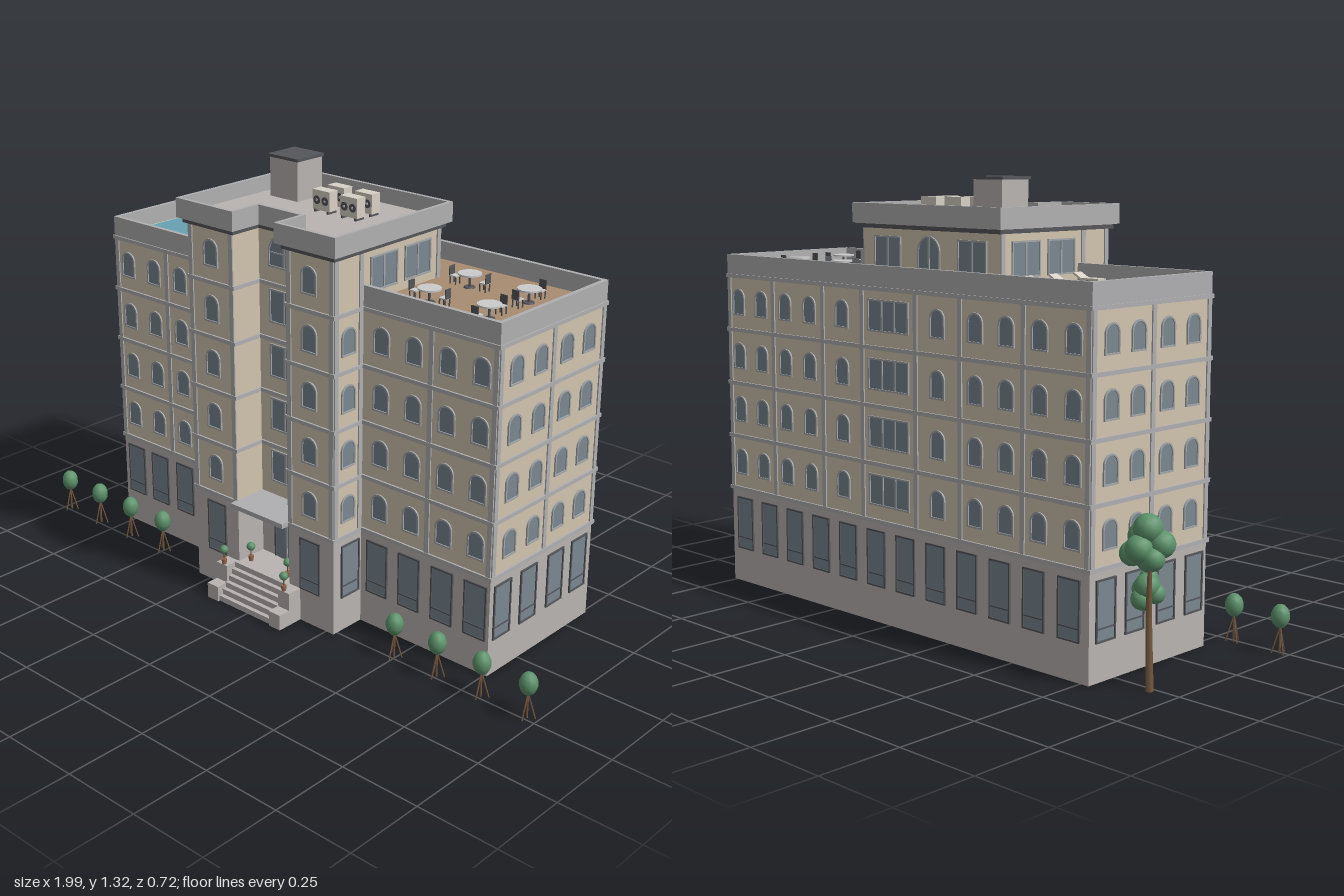
import * as THREE from 'three';

const COL = { wall: 0xd2c5af, base: 0xb9b4b2, trim: 0xb0b0b2, glass: 0x7a8790, frame: 0xa3a6a8, dark: 0x55565a,
  deck: 0xa98c72, water: 0x69a2b4, cream: 0xd8d2c6, leaf: 0x5d936b, wood: 0x75593f, pot: 0x9a6a50, grey: 0xcccccc };
const mats = {};
const mat = (c) => (mats[c] ??= new THREE.MeshStandardMaterial({ color: COL[c] }));

function add(parent, name, geo, c, x = 0, y = 0, z = 0) {
  const m = new THREE.Mesh(geo, mat(c));
  m.name = name;
  m.position.set(x, y, z);
  parent.add(m);
  return m;
}
// Box given by its extents
function box(parent, name, c, x0, x1, y0, y1, z0, z1) {
  return add(parent, name, new THREE.BoxGeometry(x1 - x0, y1 - y0, z1 - z0), c, (x0 + x1) / 2, (y0 + y1) / 2, (z0 + z1) / 2);
}
function group(parent, name, x = 0, y = 0, z = 0, ry = 0) {
  const g = new THREE.Group();
  g.name = name;
  g.position.set(x, y, z);
  g.rotation.y = ry;
  parent.add(g);
  return g;
}
// Round bar between two points
function bar(parent, name, c, a, b, r0, r1 = r0) {
  const p = new THREE.Vector3(...a), q = new THREE.Vector3(...b), d = q.clone().sub(p);
  const m = add(parent, name, new THREE.CylinderGeometry(r1, r0, d.length(), 7), c);
  m.position.copy(p).add(q).multiplyScalar(0.5);
  m.quaternion.setFromUnitVectors(new THREE.Vector3(0, 1, 0), d.normalize());
}

// Footprints, grown outwards by o, as [x, z] corners
const mainPlan = (o) => [[-0.78 - o, 0.145 + o], [0.76 + o, 0.145 + o], [0.76 + o, -0.355 - o], [-0.78 - o, -0.355 - o]];
const towerPlan = (o) => [[-0.3 - o, 0.267 + o], [-0.115 + o, 0.267 + o], [-0.115 + o, 0.16 + o], [0.1 - o, 0.16 + o],
  [0.1 - o, 0.267 + o], [0.28 + o, 0.267 + o], [0.28 + o, -0.196 - o], [-0.3 - o, -0.196 - o]];
function storey(parent, name, c, plan, y0, y1, hole) {
  const pts = (p) => p.map(([x, z]) => new THREE.Vector2(x, -z));
  const s = new THREE.Shape(pts(plan));
  if (hole) s.holes.push(new THREE.Path(pts(hole)));
  const geo = new THREE.ExtrudeGeometry(s, { depth: y1 - y0, bevelEnabled: false });
  return add(parent, name, geo.rotateX(-Math.PI / 2), c, 0, y0, 0);
}

// Window outline, with an arched head of the given rise
function outline(w, h, rise, o) {
  const s = new THREE.Shape().moveTo(-w / 2 - o, -o).lineTo(w / 2 + o, -o).lineTo(w / 2 + o, h - rise + (rise ? 0 : o));
  if (rise) s.absellipse(0, h - rise, w / 2 + o, rise + o, 0, Math.PI, false);
  else s.lineTo(-w / 2 - o, h + o);
  return s;
}
const winGeo = {};
function win(parent, kind, x, y, z, ry = 0) {
  const [w, h, rise, bars, transom] = {
    arched: [0.05, 0.075, 0.024, 0, 0], shop: [0.07, 0.162, 0, 0, 0.033], pair: [0.108, 0.095, 0, 1, 0],
    triple: [0.165, 0.085, 0, 2, 0], fan: [0.112, 0.095, 0.055, 1, 0.04], door: [0.09, 0.17, 0, 1, 0.125],
    terraceDoor: [0.085, 0.13, 0.04, 1, 0] }[kind];
  const geo = (winGeo[kind] ??= (() => {
    const ring = outline(w, h, rise, 0.005);
    ring.holes.push(outline(w, h, rise, 0));
    return [new THREE.ShapeGeometry(outline(w, h, rise, 0), 8),
      new THREE.ExtrudeGeometry(ring, { depth: 0.005, bevelEnabled: false, curveSegments: 8 })];
  })());
  const g = group(parent, kind + 'Window', x, y, z, ry);
  add(g, 'glass', geo[0], 'glass', 0, 0, 0.0015);
  add(g, 'frame', geo[1], kind === 'shop' || kind === 'door' ? 'dark' : 'frame');
  for (let i = 1; i <= bars; i++) {
    const bx = -w / 2 + (w * i) / (bars + 1);
    box(g, 'mullion', 'frame', bx - 0.003, bx + 0.003, 0, h, 0, 0.004);
  }
  if (transom) box(g, 'transom', kind === 'fan' ? 'frame' : 'dark', -w / 2, w / 2, transom - 0.002, transom + 0.002, 0, 0.004);
}

const FLOORS = [0.31, 0.4825, 0.655, 0.8275];
const R = Math.PI / 2;

function buildWalls(root) {
  const g = group(root, 'building');
  storey(g, 'mainBase', 'base', mainPlan(0), 0, 0.31);
  storey(g, 'mainWalls', 'wall', mainPlan(0), 0.31, 1.0);
  storey(g, 'towerBase', 'base', towerPlan(0), 0, 0.31);
  storey(g, 'towerWalls', 'wall', towerPlan(0), 0.31, 1.18);
  for (const y of [...FLOORS, 1.0]) {
    storey(g, 'mainBand', 'trim', mainPlan(0.006), y - 0.006, y + 0.006);
    storey(g, 'towerBand', 'trim', towerPlan(0.006), y - 0.006, y + 0.006);
  }
  storey(g, 'roofDeck', 'deck', mainPlan(-0.005), 1.0, 1.012);
  storey(g, 'mainParapet', 'trim', mainPlan(0.002), 1.0, 1.068, mainPlan(-0.012));
  storey(g, 'towerCornice', 'dark', towerPlan(0.012), 1.165, 1.18);
  storey(g, 'towerRoof', 'base', towerPlan(0.02), 1.178, 1.192);
  storey(g, 'towerParapet', 'trim', towerPlan(0.025), 1.18, 1.24, towerPlan(0.013));
  // Pilasters
  const pil = (x, z, y1) => box(g, 'pilaster', 'trim', x - 0.008, x + 0.008, 0.31, y1, z - 0.004, z + 0.004);
  for (const x of [-0.772, -0.54, 0.53, 0.752]) pil(x, 0.145, 1.0);
  for (const x of [-0.772, -0.54, -0.3, -0.12, 0.11, 0.29, 0.53, 0.752]) pil(x, -0.355, 1.0);
  for (const x of [-0.292, -0.123, 0.108, 0.272]) pil(x, 0.267, 1.17);
  for (const x of [-0.78, 0.76]) for (const z of [0.137, -0.105, -0.347])
    box(g, 'sidePilaster', 'trim', x - 0.004, x + 0.004, 0.31, 1.0, z - 0.008, z + 0.008);
  for (const x of [-0.3, 0.28]) for (const z of [0.259, 0.155, -0.188])
    box(g, 'towerSidePilaster', 'trim', x - 0.004, x + 0.004, 0.31, 1.17, z - 0.008, z + 0.008);
}

function buildWindows(root) {
  const g = group(root, 'windows');
  const wingX = [-0.72, -0.6, -0.478, -0.36, 0.352, 0.47, 0.59, 0.705];
  const sideZ = [0.067, -0.045, -0.168, -0.277];
  for (const f of FLOORS) {
    const y = f + 0.052;
    for (const x of wingX) win(g, 'arched', x, y, 0.145);
    for (const x of [...wingX, -0.21, 0.2]) win(g, 'arched', x, y, -0.355, Math.PI);
    win(g, 'triple', -0.005, y, -0.355, Math.PI);
    for (const z of sideZ) { win(g, 'arched', 0.76, y, z, R); win(g, 'arched', -0.78, y, z, -R); }
    win(g, 'arched', 0.28, y, 0.207, R);
    win(g, 'arched', -0.3, y, 0.207, -R);
    win(g, 'pair', -0.012, f + 0.058, 0.16);
  }
  for (const f of [...FLOORS, 1.0]) for (const x of [-0.207, 0.187]) win(g, 'arched', x, f + 0.052, 0.267);
  win(g, 'fan', -0.012, 1.058, 0.16);
  // Ground floor
  for (const x of [-0.72, -0.605, -0.485, -0.365, 0.345, 0.467, 0.59, 0.71]) win(g, 'shop', x, 0.115, 0.145);
  for (const x of [-0.207, 0.187]) win(g, 'shop', x, 0.115, 0.267);
  for (let i = 0; i < 12; i++) win(g, 'shop', -0.71 + i * 0.1275, 0.115, -0.355, Math.PI);
  for (const z of [0.088, -0.037, -0.17, -0.29]) { win(g, 'shop', 0.76, 0.115, z, R); win(g, 'shop', -0.78, 0.115, z, -R); }
  win(g, 'shop', 0.28, 0.115, 0.195, R);
  win(g, 'shop', -0.3, 0.115, 0.195, -R);
  // Penthouse
  for (const z of [0.058, -0.092]) { win(g, 'pair', 0.28, 1.043, z, R); win(g, 'pair', -0.3, 1.043, z, -R); }
  for (const x of [-0.19, 0.17]) win(g, 'pair', x, 1.043, -0.196, Math.PI);
  win(g, 'terraceDoor', -0.01, 1.013, -0.196, Math.PI);
}

function topiary(parent, x, y, z) {
  const g = group(parent, 'pottedBush', x, y, z);
  add(g, 'pot', new THREE.CylinderGeometry(0.009, 0.007, 0.018, 8), 'pot', 0, 0.009);
  bar(g, 'stem', 'wood', [0, 0.015, 0], [0, 0.045, 0], 0.002);
  add(g, 'crown', new THREE.IcosahedronGeometry(0.014, 1), 'leaf', 0, 0.049);
}

function buildEntrance(root) {
  const g = group(root, 'entrance');
  box(g, 'landing', 'base', -0.118, 0.103, 0, 0.108, 0.15, 0.267);
  for (let i = 0; i < 6; i++) box(g, 'step', 'base', -0.122, 0.102, 0, 0.108 - i * 0.018, 0.26, 0.281 + i * 0.014);
  for (const x of [-0.165, 0.1]) {
    box(g, 'upperCheek', 'base', x, x + 0.045, 0, 0.107, 0.26, 0.317);
    box(g, 'lowerCheek', 'base', x, x + 0.045, 0, 0.05, 0.317, 0.358);
  }
  box(g, 'canopy', 'trim', -0.117, 0.102, 0.302, 0.317, 0.155, 0.298);
  win(g, 'door', -0.01, 0.108, 0.16);
  topiary(g, -0.138, 0.107, 0.31);
  topiary(g, 0.118, 0.107, 0.31);
  topiary(g, -0.09, 0.108, 0.24);
  topiary(g, 0.068, 0.108, 0.24);
}

function buildRoof(root) {
  const g = group(root, 'rooftop');
  box(g, 'poolRim', 'cream', -0.752, -0.513, 1.008, 1.018, -0.335, 0.115);
  box(g, 'poolWater', 'water', -0.744, -0.521, 1.01, 1.0195, -0.327, 0.107);
  // Sun loungers
  for (const z of [-0.15, -0.045, 0.06]) {
    const l = group(g, 'lounger', -0.41, 1.012, z);
    box(l, 'seat', 'cream', -0.047, 0.022, 0.016, 0.022, -0.017, 0.017);
    const back = box(l, 'backrest', 'cream', 0.016, 0.05, 0.023, 0.029, -0.017, 0.017);
    back.rotation.z = 0.5;
    for (const x of [-0.04, 0.02]) for (const s of [-0.013, 0.013]) box(l, 'leg', 'dark', x - 0.002, x + 0.002, 0, 0.017, s - 0.002, s + 0.002);
  }
  // Tables with two chairs each
  for (const [x, ry] of [[0.41, 0], [0.62, R]]) for (const z of [-0.175, 0.01]) {
    const t = group(g, 'tableSet', x, 1.012, z, ry);
    add(t, 'tableTop', new THREE.CylinderGeometry(0.035, 0.035, 0.005, 16), 'grey', 0, 0.042);
    bar(t, 'tableLeg', 'dark', [0, 0, 0], [0, 0.04, 0], 0.004);
    add(t, 'tableFoot', new THREE.CylinderGeometry(0.016, 0.018, 0.004, 12), 'dark', 0, 0.002);
    for (const s of [-1, 1]) {
      const c = group(t, 'chair', s * 0.054, 0, 0, s < 0 ? Math.PI : 0);
      box(c, 'seat', 'grey', -0.012, 0.012, 0.023, 0.027, -0.012, 0.012);
      box(c, 'chairBack', 'dark', 0.01, 0.013, 0.025, 0.054, -0.012, 0.012);
      for (const lx of [-0.01, 0.01]) for (const lz of [-0.01, 0.01]) box(c, 'leg', 'dark', lx - 0.0015, lx + 0.0015, 0, 0.024, lz - 0.0015, lz + 0.0015);
    }
  }
  // Lift housing
  box(g, 'liftHousing', 'base', -0.262, -0.148, 1.19, 1.315, -0.15, -0.042);
  box(g, 'liftCap', 'dark', -0.267, -0.143, 1.315, 1.324, -0.155, -0.037);
  // Air conditioners
  for (const x of [-0.011, 0.097]) for (const z of [-0.08, -0.015]) {
    const a = group(g, 'airConditioner', x, 1.192, z);
    box(a, 'housing', 'cream', -0.033, 0.033, 0.008, 0.068, -0.018, 0.018);
    for (const s of [-0.016, 0.016]) {
      add(a, 'fan', new THREE.CylinderGeometry(0.013, 0.013, 0.003, 14).rotateX(R), 'dark', s, 0.038, 0.018);
      add(a, 'fanHub', new THREE.CylinderGeometry(0.004, 0.004, 0.003, 8).rotateX(R), 'grey', s, 0.038, 0.0195);
      box(a, 'foot', 'dark', s * 1.6 - 0.003, s * 1.6 + 0.003, 0, 0.009, -0.018, 0.018);
    }
  }
}

function buildTrees(root) {
  // Street bushes on tripod stakes
  for (const x of [-0.973, -0.815, -0.658, -0.5, 0.495, 0.653, 0.811, 0.969]) {
    const g = group(root, 'streetBush', x, 0, 0.24);
    add(g, 'crown', new THREE.SphereGeometry(0.027, 10, 7).scale(1, 1.3, 1), 'leaf', 0, 0.108);
    bar(g, 'stem', 'wood', [0, 0, 0], [0, 0.09, 0], 0.003);
    for (let i = 0; i < 3; i++) {
      const a = R + (i * Math.PI * 2) / 3;
      bar(g, 'stake', 'wood', [0.023 * Math.cos(a), 0, 0.023 * Math.sin(a)], [0, 0.078, 0], 0.0022);
    }
  }
  // Large tree with clustered foliage
  const t = group(root, 'largeTree', -0.91, 0, -0.27);
  bar(t, 'trunk', 'wood', [-0.007, 0, 0], [0, 0.2, 0], 0.011, 0.009);
  bar(t, 'upperTrunk', 'wood', [0, 0.2, 0], [-0.01, 0.38, -0.01], 0.009, 0.005);
  bar(t, 'branch', 'wood', [0, 0.17, 0], [0.035, 0.25, 0.03], 0.006, 0.004);
  const blobs = [[-0.01, 0.44, -0.02, 0.04], [-0.04, 0.4, 0, 0.037], [0.03, 0.41, 0.005, 0.038], [0, 0.39, 0.035, 0.038],
    [-0.005, 0.39, -0.05, 0.038], [0.03, 0.37, -0.035, 0.034], [-0.035, 0.365, -0.03, 0.032], [0.005, 0.35, 0.005, 0.034],
    [0.03, 0.27, 0.03, 0.035], [0.055, 0.255, 0.045, 0.031], [0.015, 0.25, 0.045, 0.028], [0.04, 0.235, 0.02, 0.03], [0.045, 0.285, 0.055, 0.026]];
  for (const [x, y, z, r] of blobs) add(t, 'foliage', new THREE.IcosahedronGeometry(r, 2), 'leaf', x, y, z);
}

export function createModel() {
  const root = new THREE.Group();
  root.name = 'hotel';
  for (const build of [buildWalls, buildWindows, buildEntrance, buildRoof, buildTrees]) build(root);
  return root;
}
